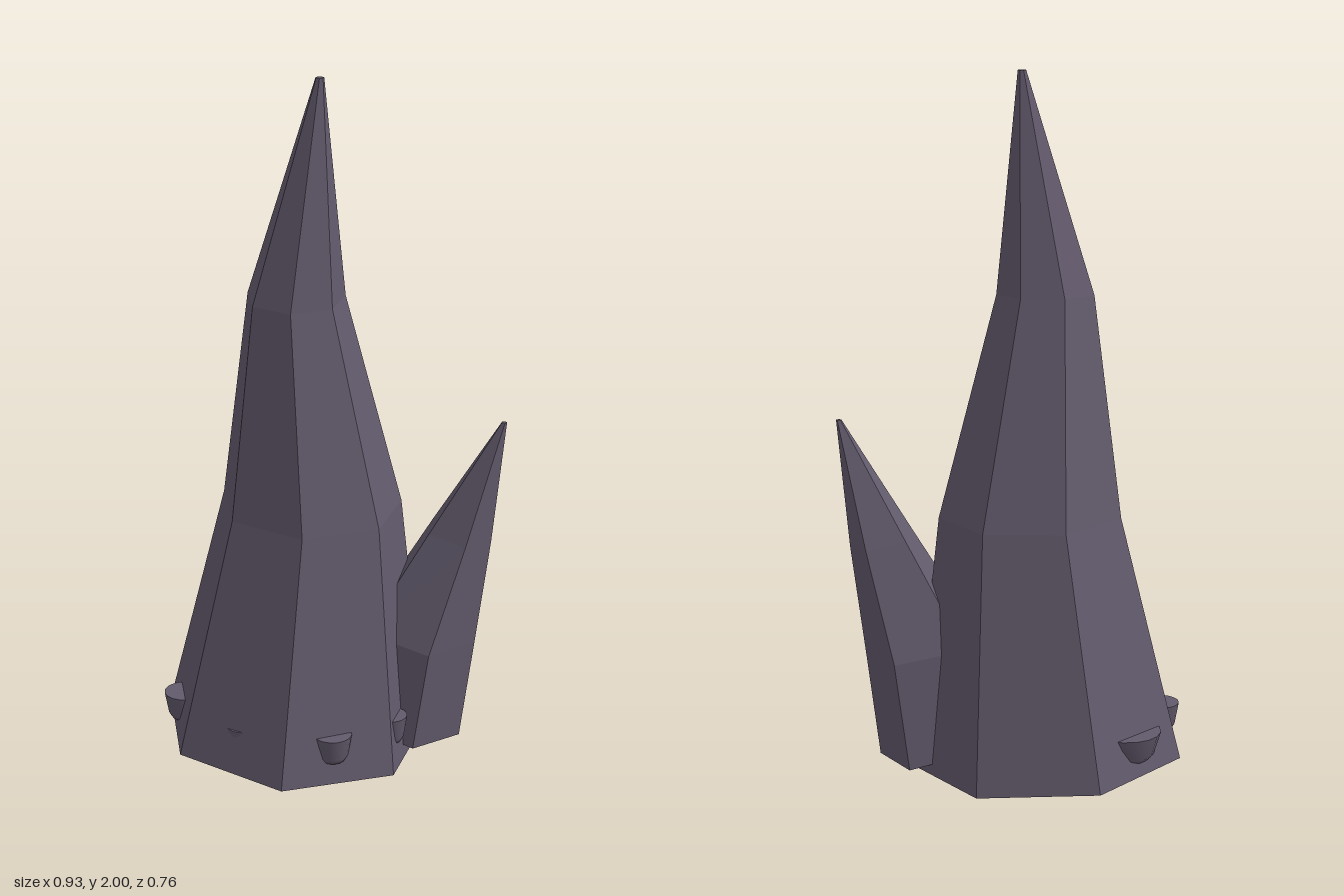
import * as THREE from 'three';

// Faceted spike lofted through rings: [centreX, y, centreZ, radius, slopeX, slopeZ]
function spike(rings, sides, startDeg) {
  const start = THREE.MathUtils.degToRad(startDeg);
  const loops = rings.map(([cx, y, cz, r, sx = 0, sz = 0]) =>
    Array.from({ length: sides }, (_, i) => {
      const a = start + (i / sides) * Math.PI * 2;
      const dx = Math.sin(a) * r, dz = Math.cos(a) * r;
      return [cx + dx, y + sx * dx + sz * dz, cz + dz];
    }));
  const pos = [];
  const tri = (a, b, c) => pos.push(...a, ...b, ...c);
  const centre = ([x, y, z]) => [x, y, z];
  const last = loops.length - 1;
  for (let i = 0; i < sides; i++) {
    const j = (i + 1) % sides;
    for (let k = 0; k < last; k++) {
      const lo = loops[k], hi = loops[k + 1];
      tri(lo[i], lo[j], hi[j]);
      tri(lo[i], hi[j], hi[i]);
    }
    tri(centre(rings[0]), loops[0][j], loops[0][i]);
    tri(centre(rings[last]), loops[last][i], loops[last][j]);
  }
  const geo = new THREE.BufferGeometry();
  geo.setAttribute('position', new THREE.Float32BufferAttribute(pos, 3));
  geo.computeVertexNormals();
  return geo;
}

export function createModel() {
  const model = new THREE.Group();
  model.name = 'rockSpires';
  const stone = new THREE.MeshStandardMaterial({ color: 0x625a6c });
  stone.name = 'purple grey stone';

  const add = (name, geo) => {
    const mesh = new THREE.Mesh(geo, stone);
    mesh.name = name;
    model.add(mesh);
    return mesh;
  };

  // Tall seven-sided spire
  add('mainSpire', spike([
    [-0.077, 0.028, 0.018, 0.398, -0.058, 0.02],
    [-0.032, 0.75, -0.002, 0.266, -0.02, 0.01],
    [-0.055, 1.38, 0.04, 0.141, -0.02, -0.03],
    [0.01, 2.0, 0.017, 0.012],
  ], 7, 180));

  // Small five-sided spire leaning outwards
  add('sideSpire', spike([
    [0.2, 0.045, -0.14, 0.175, -0.18, 0.12],
    [0.24, 0.35, -0.155, 0.172, -0.15, 0.08],
    [0.342, 0.66, -0.207, 0.097, -0.2, 0.08],
    [0.459, 1.013, -0.25, 0.008],
  ], 5, 40));

  // Rounded stones set into the foot: [x, z, radius]
  const stones = [
    [-0.335, 0.225, 0.058], [0.175, 0.225, 0.056], [0.265, 0.04, 0.046],
    [-0.36, -0.03, 0.1], [-0.075, 0.31, 0.05],
  ];
  for (const [x, z, r] of stones) {
    const profile = [[0, -0.04], [0.65, -0.04], [0.8, -0.025], [1, 0.04], [1, 0.04], [0, 0.04]]
      .map(([k, y]) => new THREE.Vector2(k * r, y));
    add('footStone', new THREE.LatheGeometry(profile, 16)).position.set(x, 0.122, z);
  }
  return model;
}
